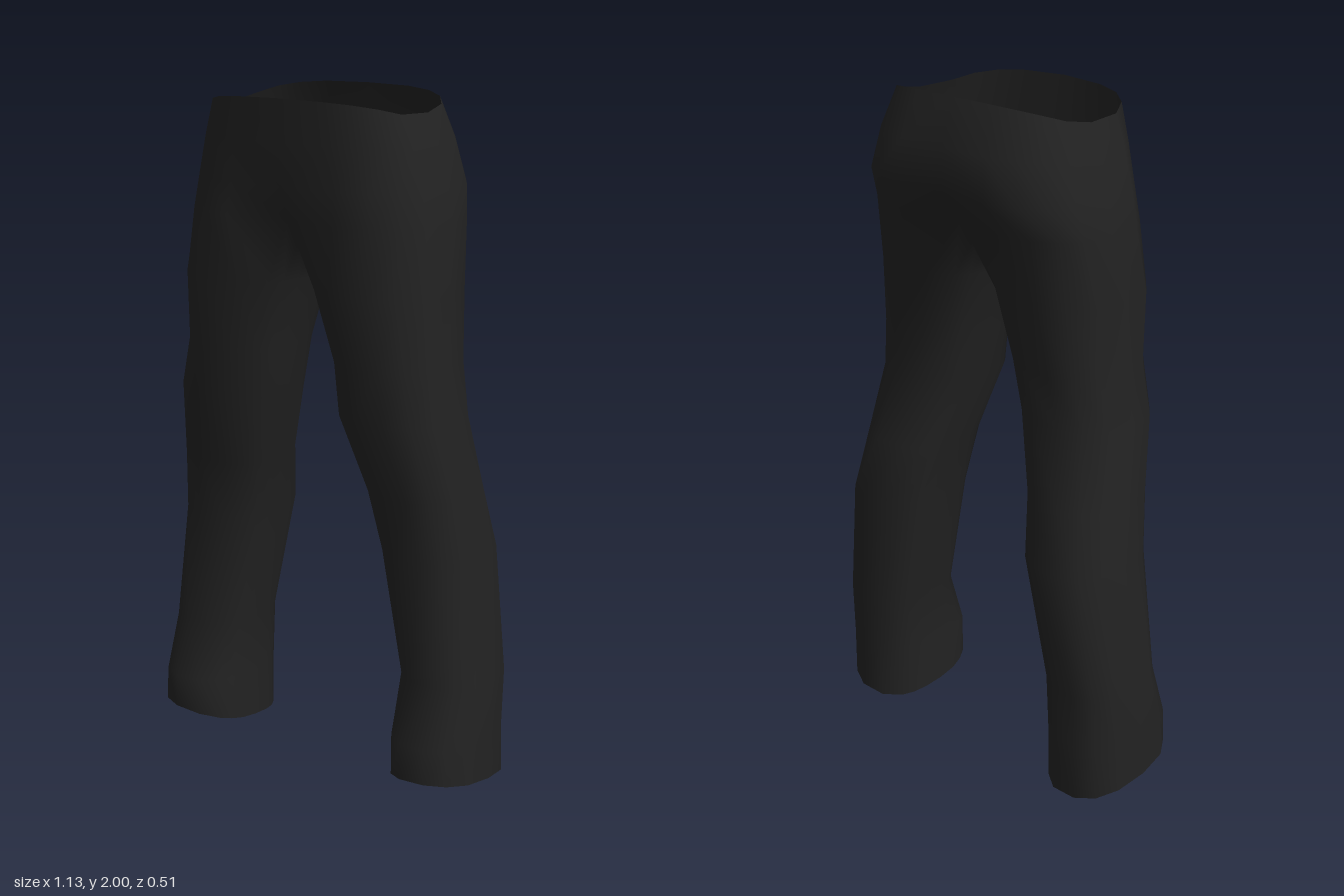
import * as THREE from 'three';
import { mergeVertices } from 'three/addons/utils/BufferGeometryUtils.js';

const ARC = 10; // outer steps from front centre to back centre
const INNER = 5; // extra points that close a leg on the inside
const pow = (v, e) => Math.sign(v) * Math.abs(v) ** e;

// Half hip rings: y, half width, front z, back z, front centre factor, back centre factor
const HIPS = [
  [1.95, 0.32, 0.25, -0.19, 1.02, 1],
  [1.87, 0.355, 0.245, -0.24, 1, 0.97],
  [1.75, 0.39, 0.24, -0.26, 0.96, 0.9],
  [1.66, 0.405, 0.253, -0.215, 0.8, 0.78],
];
// Leg rings: y, inner x, outer x, front z, back z
const LEGS = [
  [1.47, 0.03, 0.425, 0.238, -0.16],
  [1.27, 0.09, 0.43, 0.212, -0.138],
  [1.12, 0.11, 0.457, 0.215, -0.122],
  [0.9, 0.18, 0.485, 0.165, -0.165],
  [0.72, 0.21, 0.51, 0.135, -0.207],
  [0.35, 0.285, 0.555, 0.132, -0.187],
  [0.18, 0.284, 0.56, 0.19, -0.183],
  [0.04, 0.283, 0.567, 0.19, -0.178],
];

function hipRing([y, w, f, b, cf, cb], row) {
  const ring = [];
  for (let k = 0; k <= ARC; k++) {
    const t = (Math.PI * k) / ARC, c = Math.cos(t);
    let z = pow(c, 0.68) * (c > 0 ? f : -b);
    if (k === 0) z *= cf;
    if (k === ARC) z *= cb;
    const x = k % ARC === 0 ? 0 : w * Math.sin(t) ** 0.7;
    // the waistband rises at the front and back
    let lift = 0;
    if (row === 0) lift = z > 0 ? Math.max(0, z - 0.1) * 0.26 : Math.max(0, -z - 0.04) * 0.33;
    ring.push([x, y + lift, z]);
  }
  return ring;
}

function legRing([y, xi, xo, f, b], row) {
  const ring = [], cx = (xi + xo) / 2, w = (xo - xi) / 2, cz = (f + b) / 2, d = (f - b) / 2;
  const hem = row === LEGS.length - 1;
  for (let k = 0; k <= ARC + INNER; k++) {
    const a = THREE.MathUtils.degToRad(k <= ARC ? -45 + 27 * k : 225 + 15 * (k - ARC));
    const s = Math.sin(a), c = Math.cos(a);
    // hem slopes down to the back and inside
    const dy = hem ? 0.035 * c + 0.015 * s - 0.002 : 0;
    ring.push([cx + w * pow(s, 0.82), y + dy, cz + d * pow(c, 0.82)]);
  }
  return ring;
}

// Close the lowest hip ring under the crotch along the centre seam
function crotchRing(ring) {
  const front = ring[0], back = ring[ARC], out = ring.slice();
  for (let j = 1; j <= INNER; j++) {
    const u = j / (INNER + 1);
    out.push([0, 1.66 - 0.1 * Math.sin(Math.PI * u) ** 0.8, THREE.MathUtils.lerp(back[2], front[2], u)]);
  }
  return out;
}

function trousersGeometry() {
  const hips = HIPS.map(hipRing);
  const legs = [crotchRing(hips[hips.length - 1]), ...LEGS.map(legRing)];
  const pos = [];

  function skin(rings, closed, side) {
    const put = (...pts) => {
      if (side < 0) pts.reverse();
      pts.forEach(([x, y, z]) => pos.push(side * x, y, z));
    };
    for (let r = 0; r < rings.length - 1; r++) {
      const up = rings[r], low = rings[r + 1], n = up.length;
      for (let k = 0; k < (closed ? n : n - 1); k++) {
        const m = (k + 1) % n;
        put(up[k], low[k], up[m]);
        put(up[m], low[k], low[m]);
      }
    }
  }
  for (const side of [1, -1]) {
    skin(hips, false, side);
    skin(legs, true, side);
  }
  const soup = new THREE.BufferGeometry();
  soup.setAttribute('position', new THREE.Float32BufferAttribute(pos, 3));
  const geometry = mergeVertices(soup, 1e-4);
  geometry.computeVertexNormals();
  return geometry;
}

export function createModel() {
  const group = new THREE.Group();
  group.name = 'trousers';
  const cloth = new THREE.MeshStandardMaterial({ color: 0x222222, side: THREE.DoubleSide });
  cloth.name = 'black cloth';
  const mesh = new THREE.Mesh(trousersGeometry(), cloth);
  mesh.name = 'trouserCloth';
  group.add(mesh);
  return group;
}
